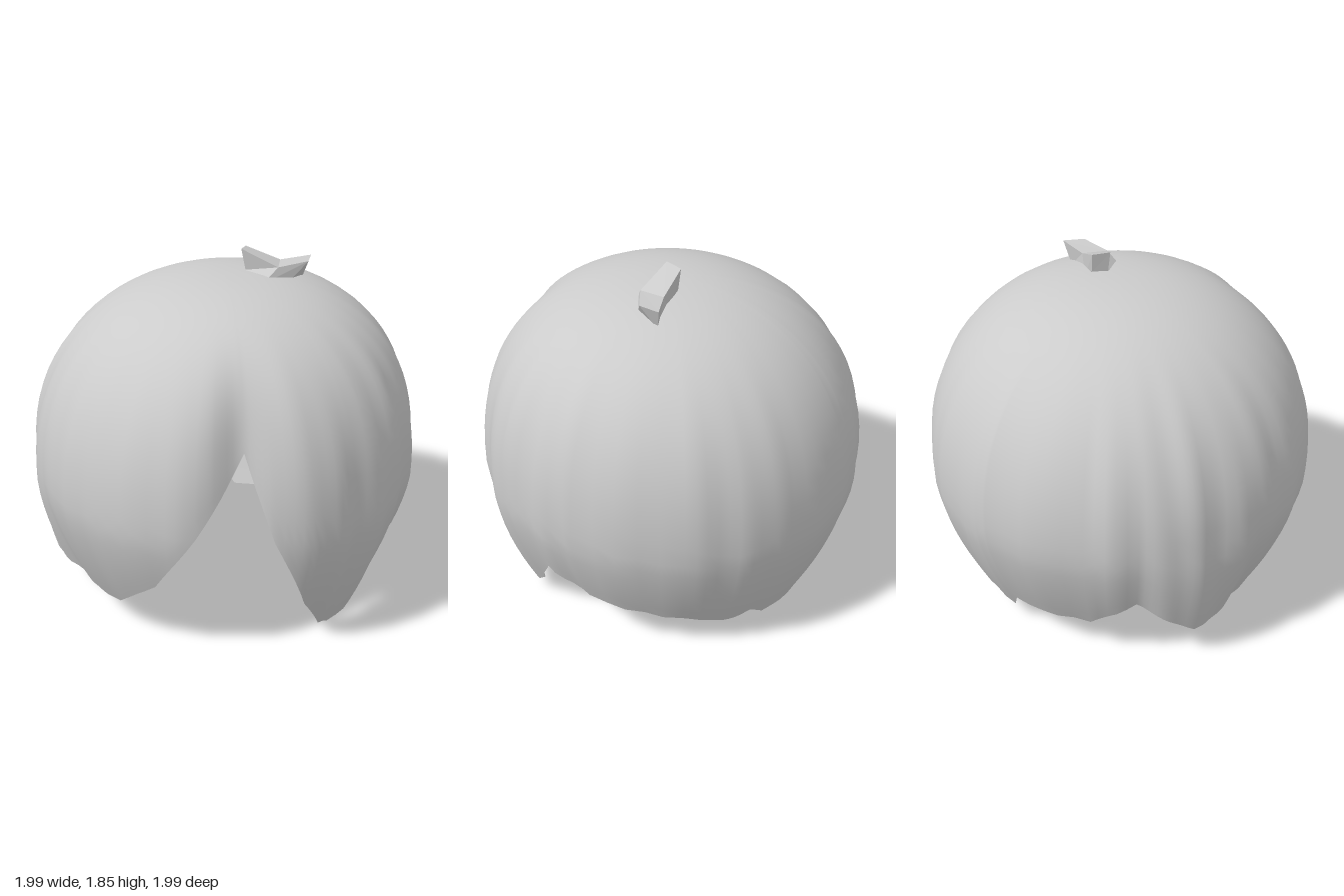
import * as THREE from 'three';

// Hem outline: [angle around the head (0 = front, growing towards +x), height]
const HEM = [
  [0.14, 0.76], [0.23, 0.9], [0.39, 1.14], [0.54, 0.7], [0.76, 0.27], [0.96, 0.04], [1.08, 0],
  [1.3, 0.16], [1.55, 0.45], [1.78, 0.31], [2.35, 0.22], [2.62, 0.14], [2.8, 0.18], [2.92, 0.1],
  [3.33, 0.1], [3.42, 0.17], [3.83, 0.1], [3.92, 0.22], [4.45, 0.23], [4.72, 0.43], [4.9, 0.3],
  [5.05, 0.2], [5.36, 0.2], [5.56, 0.17], [5.84, 0.18], [6.19, 0.43],
];
const ROWS = 26, SUB = 5, MID = 0.75, DOME = 0.99;

const bump = (a, centre, width) => {
  const d = Math.atan2(Math.sin(a - centre), Math.cos(a - centre)) / width;
  return Math.exp(-d * d);
};

// Roundness of the dome, a little fuller on the +x side
const power = (angle) => 2.31 + 0.13 * Math.sin(angle);

// Profile position for a given height, measured down from the crown
const profileAt = (angle, y) => y > MID
  ? Math.acos(Math.pow((y - MID) / DOME, power(angle) / 2))
  : Math.PI / 2 + MID - y;

function hairPoint(angle, s) {
  let r, y;
  if (s < Math.PI / 2) {
    const e = 2 / power(angle);
    r = Math.pow(Math.sin(s), e);
    y = MID + DOME * Math.pow(Math.max(Math.cos(s), 0), e);
  } else {
    const d = s - Math.PI / 2;
    y = MID - d;
    // lower hair tucks in, less so at the side locks and the back
    r = 1 - 0.45 * Math.pow(d, 1.5)
      + d * (0.2 * bump(angle, 5.05, 0.25) + 0.09 * bump(angle, 1.1, 0.3) + 0.06 * bump(angle, 3.1, 0.6));
  }
  // parting valley and soft strands, strongest at the sides
  const low = THREE.MathUtils.smoothstep(s, 0.4, 1.3);
  const side = 0.3 + 0.7 * Math.sin(angle) ** 2;
  r *= 1 - 0.12 * low * bump(angle, 0.39, 0.19);
  r *= 1 - low * side * (0.012 + 0.007 * Math.sin(angle * 17 + s * 1.5) + 0.008 * Math.sin(angle * 29 - s * 2));
  r *= 1 - 0.02 * low * bump(angle, 0.8 + 0.1 * s, 0.08);
  return [r * Math.sin(angle), y, r * Math.cos(angle)];
}

function buildGeometry(pos, index) {
  const g = new THREE.BufferGeometry();
  g.setAttribute('position', new THREE.Float32BufferAttribute(pos, 3));
  g.setIndex(index);
  g.computeVertexNormals();
  return g;
}

function hairShell() {
  const columns = [];
  HEM.forEach(([a, y], i) => {
    const next = HEM[(i + 1) % HEM.length];
    const a2 = next[0] < a ? next[0] + Math.PI * 2 : next[0];
    for (let k = 0; k < SUB; k++) {
      const t = k / SUB;
      columns.push([a + (a2 - a) * t, y + (next[1] - y) * t]);
    }
  });
  const n = columns.length, pos = [0, MID + DOME, 0], index = [];
  columns.forEach(([a, y], i) => {
    const end = profileAt(a, y);
    for (let j = 1; j <= ROWS; j++) pos.push(...hairPoint(a, end * j / ROWS));
    const c = 1 + i * ROWS, d = 1 + ((i + 1) % n) * ROWS;
    index.push(0, c, d);
    for (let j = 0; j < ROWS - 1; j++) {
      index.push(c + j, c + j + 1, d + j + 1, c + j, d + j + 1, d + j);
    }
  });
  return buildGeometry(pos, index);
}

// Two blunt prongs joined by a sunken middle, as three four-cornered sections
function tuftGeometry() {
  const sections = [
    [[0.08, 1.85, -0.04], [0.08, 1.84, -0.13], [0.1, 1.74, -0.13], [0.1, 1.74, -0.05]],
    [[0.27, 1.77, -0.04], [0.25, 1.77, -0.17], [0.2, 1.67, -0.16], [0.21, 1.7, 0.03]],
    [[0.4, 1.78, -0.15], [0.39, 1.78, -0.26], [0.35, 1.66, -0.22], [0.31, 1.68, -0.06]],
  ];
  const index = [0, 1, 2, 0, 2, 3, 8, 10, 9, 8, 11, 10];
  for (let s = 0; s < 2; s++) {
    for (let i = 0; i < 4; i++) {
      const a = s * 4 + i, b = s * 4 + (i + 1) % 4;
      index.push(a, a + 4, b + 4, a, b + 4, b);
    }
  }
  return buildGeometry(sections.flat(2), index);
}

export function createModel() {
  const group = new THREE.Group();
  group.name = 'hair';
  const material = new THREE.MeshStandardMaterial({ color: 0xcccccc, side: THREE.DoubleSide });

  const shell = new THREE.Mesh(hairShell(), material);
  shell.name = 'hairShell';
  group.add(shell);

  // Small tied tuft on the crown
  const tuftMaterial = material.clone();
  tuftMaterial.flatShading = true;
  const tuft = new THREE.Mesh(tuftGeometry(), tuftMaterial);
  tuft.name = 'crownTuft';
  group.add(tuft);
  return group;
}
